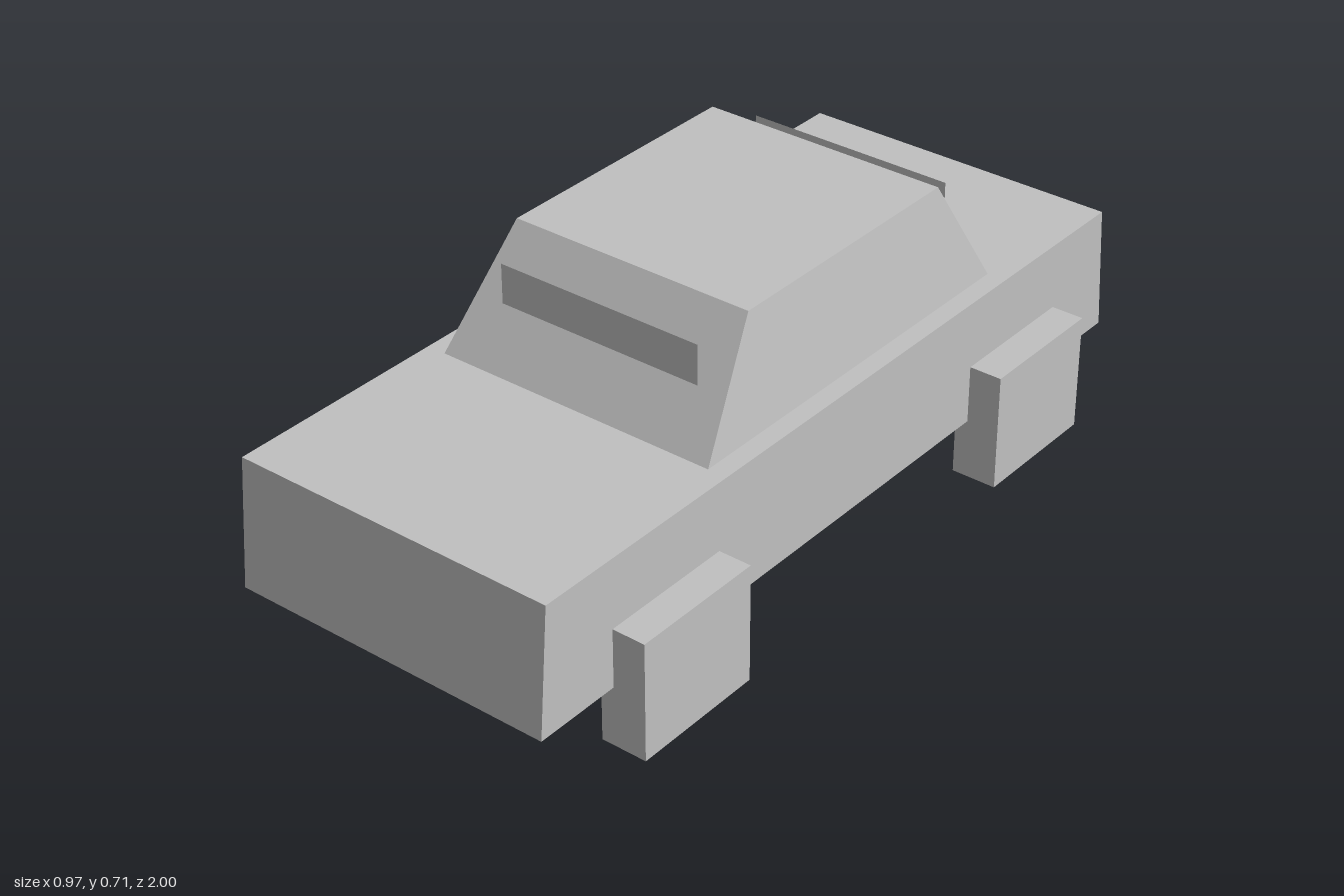
import * as THREE from 'three';

// Box whose bottom and top rectangles differ: each is { x: half width, back, front, y }
function taperedBox(bottom, top) {
  const geometry = new THREE.BoxGeometry(2, 2, 2);
  const p = geometry.attributes.position;
  for (let i = 0; i < p.count; i++) {
    const r = p.getY(i) > 0 ? top : bottom;
    p.setXYZ(i, p.getX(i) * r.x, r.y, p.getZ(i) > 0 ? r.front : r.back);
  }
  geometry.computeVertexNormals();
  return geometry;
}

export function createModel() {
  const car = new THREE.Group();
  car.name = 'car';
  const grey = new THREE.MeshStandardMaterial({ color: 0xc0c0c0, side: THREE.DoubleSide });
  grey.name = 'plain grey';

  const add = (name, geometry, x = 0, y = 0, z = 0) => {
    const mesh = new THREE.Mesh(geometry, grey);
    mesh.name = name;
    mesh.position.set(x, y, z);
    car.add(mesh);
  };

  // Body with slightly sloped nose and tail
  add('body', taperedBox(
    { x: 0.404, back: -1, front: 1, y: 0.145 },
    { x: 0.404, back: -0.975, front: 0.975, y: 0.453 }));

  // Cabin narrowing to the roof
  add('cabin', taperedBox(
    { x: 0.357, back: -0.573, front: 0.427, y: 0.453 },
    { x: 0.309, back: -0.43, front: 0.237, y: 0.715 }));

  // Upright flat window panes standing out of the sloped screens
  add('frontWindow', new THREE.PlaneGeometry(0.524, 0.096), 0, 0.62, 0.342);
  const rearPane = new THREE.PlaneGeometry(0.524, 0.135).rotateY(Math.PI);
  add('rearWindow', rearPane, 0, 0.6005, -0.53);

  // Square block wheels
  const wheel = new THREE.BoxGeometry(0.112, 0.287, 0.335);
  for (const [side, sx] of [['Left', 1], ['Right', -1]]) {
    for (const [end, sz] of [['front', 1], ['rear', -1]]) {
      add(`${end}${side}Wheel`, wheel, sx * 0.428, 0.1435, sz * 0.617);
    }
  }
  return car;
}
